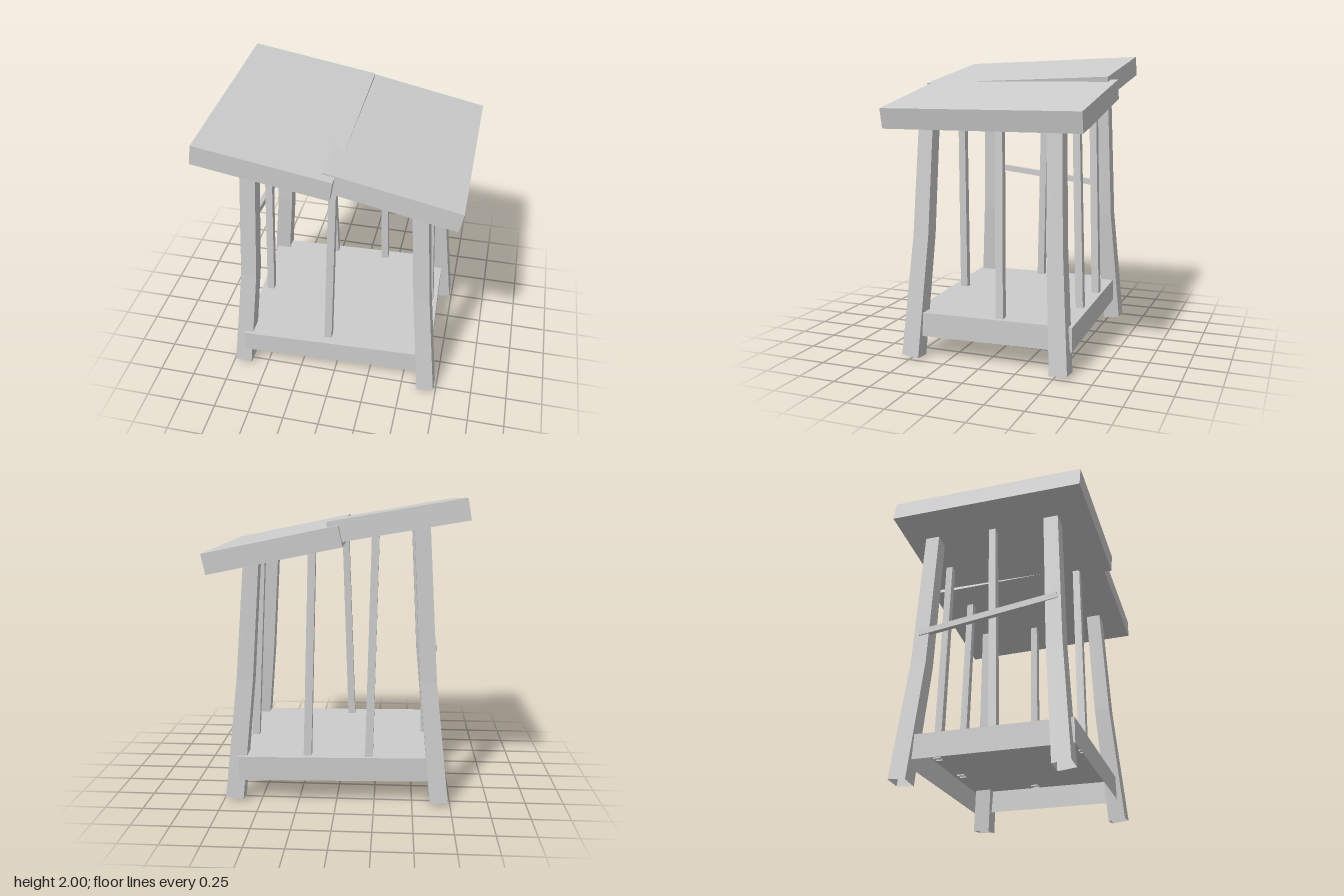
import * as THREE from 'three';

const wood = new THREE.MeshStandardMaterial({ color: 0xcccccc, side: THREE.DoubleSide });
wood.name = 'plain grey';

function part(name, geo) {
  const mesh = new THREE.Mesh(geo, wood);
  mesh.name = name;
  return mesh;
}

// Box without its underside (the fourth face group)
function openBox(w, h, d, levels = 1) {
  const geo = new THREE.BoxGeometry(w, h, d, 1, levels, 1);
  const { start, count } = geo.groups[3];
  const index = Array.from(geo.index.array);
  index.splice(start, count);
  geo.setIndex(index);
  geo.clearGroups();
  return geo;
}

// Square stick through levels of [x, y, z, width]; tilt lifts the outer foot corners
function stick(name, levels, tilt = 0) {
  const n = levels.length - 1;
  const box = openBox(1, 1, 1, n);
  const p = box.attributes.position;
  for (let i = 0; i < p.count; i++) {
    const k = Math.round((p.getY(i) + 0.5) * n);
    const [x, y, z, w] = levels[k];
    const dx = p.getX(i) * w, dz = p.getZ(i) * w;
    const lift = k === 0 ? tilt * (dx * Math.sign(x) + dz * Math.sign(z)) : 0;
    p.setXYZ(i, x + dx, y + lift, z + dz);
  }
  const geo = box.toNonIndexed();
  geo.computeVertexNormals();
  return part(name, geo);
}

function board(name, geo, position, rotation) {
  const mesh = part(name, geo);
  mesh.position.set(...position);
  mesh.rotation.set(...rotation);
  return mesh;
}

export function createModel() {
  const group = new THREE.Group();
  group.name = 'slantedTable';

  // Two overlapping, slanted top boards
  group.add(
    board('upperTopBoard', new THREE.BoxGeometry(0.867, 0.136, 1.33), [-0.386, 1.834, 0.025], [0.034, 0, -0.17]),
    board('lowerTopBoard', new THREE.BoxGeometry(0.865, 0.133, 1.322), [0.387, 1.6785, -0.03], [0, 0, -0.205])
  );

  // Slightly twisted shelf, hollow underneath
  group.add(board('shelf', openBox(1.334, 0.16, 1.098), [0, 0.23, -0.015], [0, 0.04, 0]));

  // Bent legs, splayed outwards, with open feet
  for (const sx of [-1, 1]) {
    const [midX, topX, topY] = sx < 0 ? [-0.594, -0.536, 1.84] : [0.6, 0.545, 1.63];
    for (const [side, zs] of [['front', [0.5, 0.446, 0.42]], ['back', [-0.528, -0.474, -0.45]]]) {
      group.add(stick(side + (sx > 0 ? 'LeftLeg' : 'RightLeg'), [
        [sx * 0.676, 0.0118, zs[0], 0.118],
        [midX, 0.82, zs[1], 0.108],
        [topX, topY, zs[2], 0.1],
      ], 0.1));
    }
  }

  // Thin leaning posts between shelf and top: foot, then head
  const posts = [
    ['frontPost', [-0.049, 0.3, 0.45], [0, 1.74, 0.435]],
    ['rightPost', [-0.597, 0.3, 0.038], [-0.545, 1.82, -0.007]],
    ['leftPost', [0.608, 0.3, -0.097], [0.545, 1.62, -0.072]],
    ['backPostA', [0.192, 0.3, -0.51], [0.158, 1.7, -0.46]],
    ['backPostB', [-0.214, 0.3, -0.51], [-0.246, 1.78, -0.46]],
  ];
  for (const [name, foot, head] of posts) {
    group.add(stick(name, [[...foot, 0.052], [...head, 0.049]]));
  }

  // Sloping brace across one pair of legs
  group.add(board('brace', new THREE.BoxGeometry(0.035, 0.042, 0.96), [-0.623, 1.096, -0.01], [-0.117, 0.01, 0]));

  return group;
}
